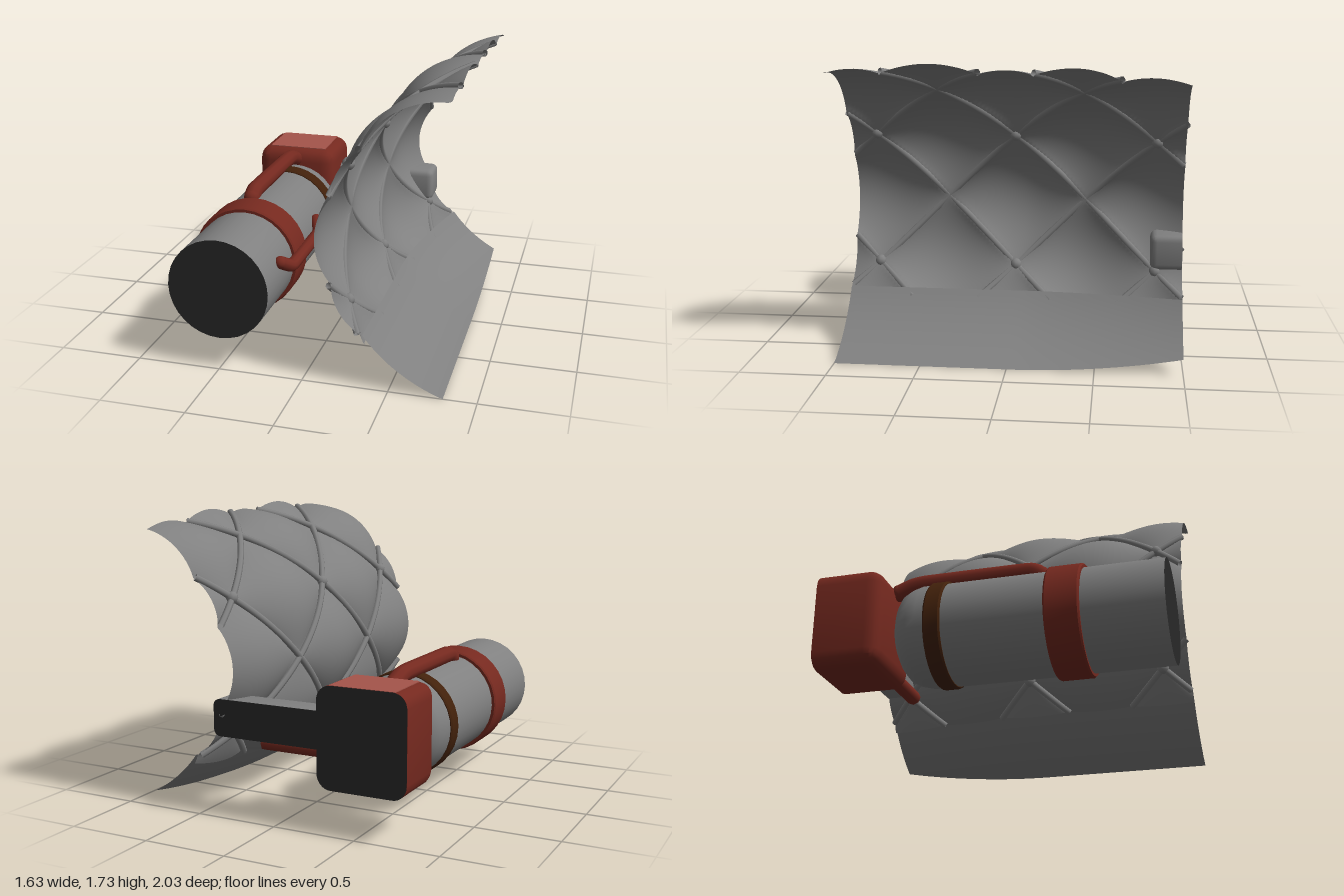
import * as THREE from 'three';
import { toCreasedNormals } from 'three/addons/utils/BufferGeometryUtils.js';
import { RoundedBoxGeometry } from 'three/addons/geometries/RoundedBoxGeometry.js';

const paint = (name, color, side = THREE.FrontSide) => {
  const m = new THREE.MeshStandardMaterial({ color, side });
  m.name = name;
  return m;
};

const EDGE_X = 0.81, CENTRE_X = 1.095, CENTRE_Y = 0.865, WIDEN = 1.12, BASE = 0.853;
const DEG = Math.PI / 180, STEP = 27.5 * DEG, PITCH = 0.42, HEM = -42 * DEG, SEAM = -38.8 * DEG;

// Elliptical hull section that narrows and shifts towards the back
const taper = z => Math.pow(Math.max(0, -z - 0.05) / 0.95, 1.7);
const centreX = z => CENTRE_X + 0.13 * taper(z);
const shrink = z => 0.035 * taper(z);
const hullPoint = (angle, z, radius) => {
  const r = radius - shrink(z);
  return new THREE.Vector3(centreX(z) - WIDEN * r * Math.cos(angle), CENTRE_Y + r * Math.sin(angle), z);
};

// Radius swells inside every diamond of the net
const quilt = (angle, z) => {
  const u = angle / STEP, v = z / PITCH, h = Math.PI / 2;
  return BASE + 0.068 * Math.pow(Math.abs(Math.cos(h * (u + v)) * Math.cos(h * (u - v))), 0.7);
};

// The lower panel tucks inside the quilt at the seam and flares to the edge
const panel = angle => 0.85 + 0.047 * Math.min(1, (SEAM - angle) / (34 * DEG));

// Angle at which a section reaches the open side edge
function edgeAngle(z, sign, radius) {
  let a = sign * 1.3;
  for (let i = 0; i < 8; i++) {
    a = sign * Math.acos((centreX(z) - EDGE_X) / (WIDEN * (radius(a, z) - shrink(z))));
  }
  return a;
}

// Grid surface between two angles over the full length
function sheet(fromAngle, toAngle, radius, nz, na) {
  const pos = [], idx = [];
  for (let i = 0; i <= nz; i++) {
    const z = -1 + 2 * i / nz, a0 = fromAngle(z), a1 = toAngle(z);
    for (let j = 0; j <= na; j++) {
      const a = a0 + (a1 - a0) * j / na;
      pos.push(...hullPoint(a, z, radius(a, z)).toArray());
      if (i < nz && j < na) {
        const p = i * (na + 1) + j, q = p + na + 1;
        idx.push(p, q, p + 1, q, q + 1, p + 1);
      }
    }
  }
  const g = new THREE.BufferGeometry();
  g.setAttribute('position', new THREE.Float32BufferAttribute(pos, 3));
  g.setIndex(idx);
  g.computeVertexNormals();
  return g;
}

export function createModel() {
  const model = new THREE.Group();
  const grey = paint('grey', 0x808080);
  const greySheet = paint('grey sheet', 0x808080, THREE.DoubleSide);
  const red = paint('red', 0x75291f);
  const paleRed = paint('pale red', 0xa5554b);
  const brown = paint('brown', 0x42210b);
  const dark = paint('dark cut face', 0x292929);

  const add = (name, geometry, material, parent = model) => {
    const mesh = new THREE.Mesh(geometry, material);
    mesh.name = name;
    parent.add(mesh);
    return mesh;
  };

  // Quilted hull and the smooth panel below it
  add('quiltedHull', sheet(() => HEM, z => edgeAngle(z, 1, quilt), quilt, 100, 90), greySheet);
  add('lowerPanel', sheet(z => edgeAngle(z, -1, panel), () => SEAM, panel, 40, 16), greySheet);

  // Diamond net of ropes
  const net = new THREE.Group();
  net.name = 'net';
  model.add(net);
  for (const s of [-1, 1]) {
    for (let k = -5; k <= 5; k += 2) {
      const pts = [];
      for (let i = 0; i <= 200; i++) {
        const a = HEM + (1.5 - HEM) * i / 200;
        const z = s * (k - a / STEP) * PITCH;
        if (Math.abs(z) > 1) continue;
        const p = hullPoint(a, z, BASE + 0.017);
        if (p.x <= EDGE_X) pts.push(p);
      }
      if (pts.length < 4) continue;
      add('rope', new THREE.TubeGeometry(new THREE.CatmullRomCurve3(pts), 48, 0.02, 7), greySheet, net);
    }
  }
  for (const a of [-STEP, STEP]) {
    for (const z of [-2 * PITCH, 0, 2 * PITCH]) {
      add('knot', new THREE.SphereGeometry(0.037, 8, 6), grey, net)
        .position.copy(hullPoint(a, z, BASE + 0.015));
    }
  }

  // Turned parts along z, around the tank axis
  const turned = (name, profile, material) => {
    const g = new THREE.LatheGeometry(profile.map(p => new THREE.Vector2(...p)), 32);
    g.rotateX(Math.PI / 2);
    add(name, toCreasedNormals(g, 0.6), material).position.set(-0.49, 0.505, 0);
  };
  turned('tank', [[0, -0.588], [0.09, -0.58], [0.16, -0.567], [0.22, -0.54], [0.26, -0.51],
    [0.285, -0.46], [0.3, -0.4], [0.3, 1]], grey);
  const band = (name, r, z0, z1, material) => turned(name,
    [[0.295, z0], [r - 0.008, z0], [r, z0 + 0.01], [r, z1 - 0.01], [r - 0.008, z1], [0.295, z1]], material);
  band('frontBand', 0.325, 0.34, 0.54, red);
  band('rearBand', 0.313, -0.35, -0.25, brown);
  add('tankCutFace', new THREE.CircleGeometry(0.3, 32), dark).position.set(-0.49, 0.505, 1);

  // Rounded block sliced flat at the back, with a dark cut face
  const block = (name, x0, x1, y0, y1, zFront, r, material) => {
    const w = x1 - x0, h = y1 - y0, d = zFront + 1.3;
    const g = new RoundedBoxGeometry(w, h, d, 2, r);
    g.translate((x0 + x1) / 2, (y0 + y1) / 2, zFront - d / 2);
    const p = g.attributes.position;
    for (let i = 0; i < p.count; i++) p.setZ(i, Math.max(-0.997, p.getZ(i)));
    add(name, toCreasedNormals(g, 0.5), material);
    const s = new THREE.Shape();
    const cx = w / 2 - r, cy = h / 2 - r, q = Math.PI / 2;
    s.absarc(cx, cy, r, 0, q);
    s.absarc(-cx, cy, r, q, 2 * q);
    s.absarc(-cx, -cy, r, 2 * q, 3 * q);
    s.absarc(cx, -cy, r, 3 * q, 4 * q);
    const cut = add(name + 'CutFace', new THREE.ShapeGeometry(s, 4), dark);
    cut.rotation.y = Math.PI;
    cut.position.set((x0 + x1) / 2, (y0 + y1) / 2, -1);
  };
  block('beam', -0.42, 0.385, 0.485, 0.7, -0.81, 0.04, grey);
  block('housing', -0.81, -0.275, 0.265, 0.845, -0.605, 0.085, red);
  add('housingTop', new THREE.BoxGeometry(0.39, 0.006, 0.32), paleRed).position.set(-0.5425, 0.844, -0.838);

  // Straight strut beside the beam
  const strut = add('strut', new THREE.CylinderGeometry(0.046, 0.046, 0.56, 8), red);
  strut.rotation.z = Math.PI / 2;
  strut.position.set(-0.08, 0.412, -0.76);

  // Bent pipes with rounded ends
  const pipe = (name, r, points) => {
    const v = points.map(p => new THREE.Vector3(...p));
    const path = new THREE.CatmullRomCurve3(v, false, 'catmullrom', 0.15);
    add(name, new THREE.TubeGeometry(path, 40, r, 10), red);
    for (const end of [v[0], v[v.length - 1]]) {
      add(name + 'End', new THREE.SphereGeometry(r, 10, 8), red).position.copy(end);
    }
  };
  pipe('topPipe', 0.052, [[-0.54, 0.79, -0.59], [-0.54, 0.82, -0.51], [-0.54, 0.83, -0.43],
    [-0.54, 0.83, 0.2], [-0.54, 0.8, 0.27]]);
  pipe('sideHandle', 0.038, [[-0.195, 0.605, 0.045], [-0.163, 0.565, 0.11], [-0.155, 0.555, 0.15],
    [-0.155, 0.555, 0.65], [-0.163, 0.565, 0.69], [-0.195, 0.605, 0.755]]);

  return model;
}
